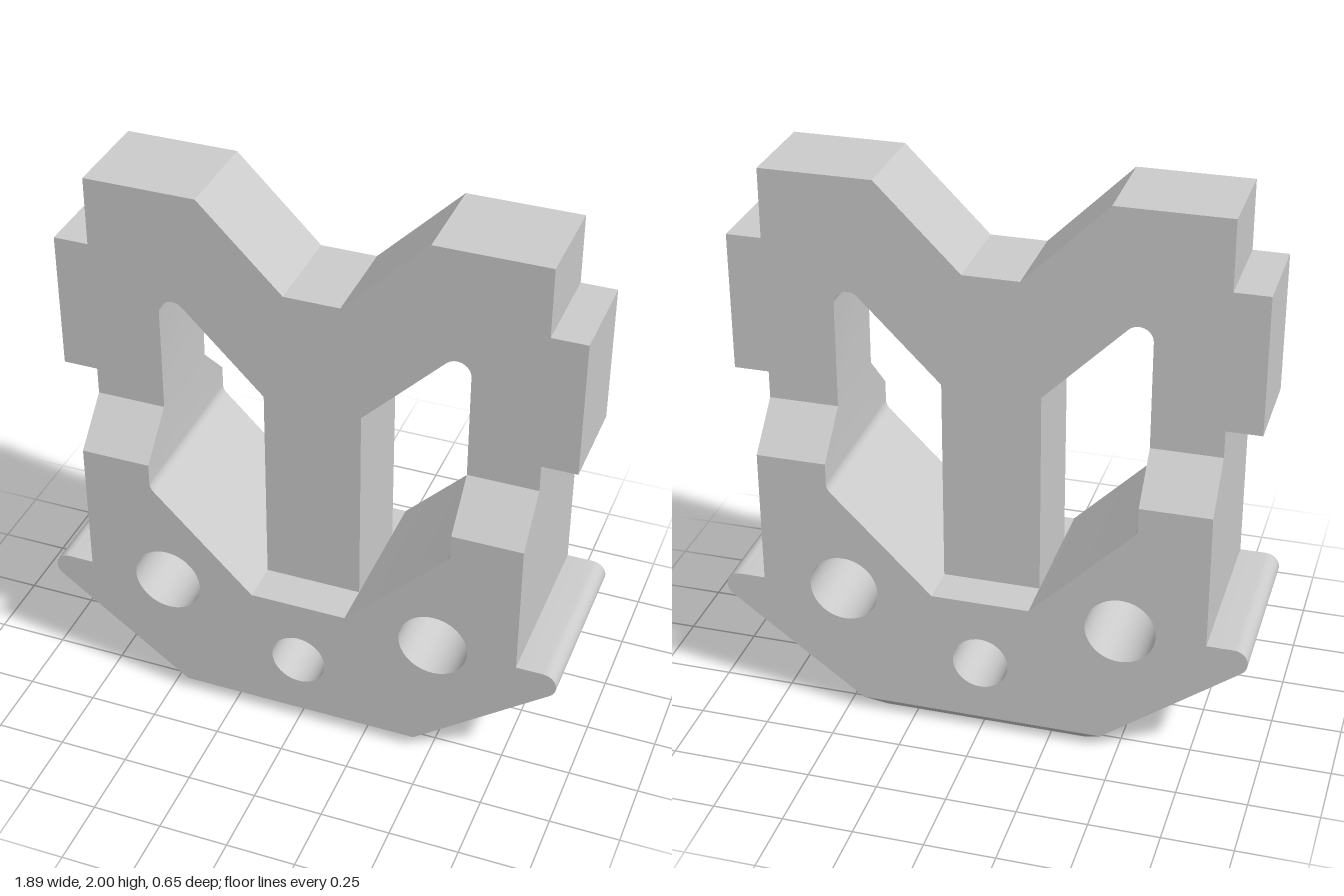
import * as THREE from 'three';
import { toCreasedNormals } from 'three/addons/utils/BufferGeometryUtils.js';

const material = new THREE.MeshStandardMaterial({ color: 0xcccccc });
const THIN = 0.175, THICK = 0.325; // half depths of the upper and lower body

// Points along an arc, angles in degrees
function arc(cx, cy, r, from, to, n = 12) {
  return Array.from({ length: n + 1 }, (_, i) => {
    const a = THREE.MathUtils.degToRad(from + ((to - from) * i) / n);
    return [cx + r * Math.cos(a), cy + r * Math.sin(a)];
  });
}

// Closed symmetric shape from its +x half, listed counterclockwise
function mirroredShape(half) {
  const other = half.map(([x, y]) => [-x, y]).reverse();
  return new THREE.Shape([...half, ...other].map(([x, y]) => new THREE.Vector2(x, y)));
}

function addHole(shape, x, y, r) {
  shape.holes.push(new THREE.Path().absarc(x, y, r, 0, Math.PI * 2, true));
}

function extrude(shape, depth, steps = 1) {
  return new THREE.ExtrudeGeometry(shape, { depth, steps, bevelEnabled: false, curveSegments: 24 });
}

// Apply a rule to every vertex
function deform(geometry, rule) {
  const p = geometry.attributes.position;
  const v = new THREE.Vector3();
  for (let i = 0; i < p.count; i++) {
    rule(v.fromBufferAttribute(p, i));
    p.setXYZ(i, v.x, v.y, v.z);
  }
  return geometry;
}

function part(name, geometry) {
  const mesh = new THREE.Mesh(toCreasedNormals(geometry, 0.5), material);
  mesh.name = name;
  return mesh;
}

export function createModel() {
  const group = new THREE.Group();
  group.name = 'bracket';

  // Thin upper frame: central column, V-notched top and side tabs
  const upper = mirroredShape([
    [0.175, 0.53], [0.175, 1.285],
    ...arc(0.5, 1.54, 0.05, 135, 0),
    [0.55, 1.15], [0.8, 1.15], [0.8, 1.25], [0.925, 1.25],
    [0.925, 1.75], [0.8, 1.75], [0.8, 2], [0.4, 2], [0.1, 1.7],
  ]);
  group.add(part('upperFrame', extrude(upper, THIN * 2).translate(0, 0, -THIN)));

  // Thick lower body with rounded side lips and three through holes
  const lower = mirroredShape([
    [0.44, 0.05],
    ...arc(0.895, 0.45, 0.05, -54, 90),
    [0.8, 0.5], [0.8, 1.15], [0.55, 1.15],
    ...arc(0.5, 0.925, 0.05, 0, -45, 8),
    [0.175, 0.53],
  ]);
  for (const x of [-0.5, 0.5]) addHole(lower, x, 0.505, 0.125);
  addHole(lower, 0, 0.28, 0.1);
  // Depth layers sit at the thin and thick planes; arm tops slope between them
  const levels = [-THICK, -THIN, THIN, THICK];
  const body = deform(extrude(lower, 3, 3), (v) => {
    v.z = levels[Math.round(v.z)];
    if (v.y > 1.14 && Math.abs(v.z) > 0.3) v.y = 1;
  });
  group.add(part('lowerBody', body));

  // Chamfered foot with a round recess underneath
  const footShape = mirroredShape([[0.44, -THICK], [0.44, THICK]]);
  addHole(footShape, 0, 0, 0.23);
  const foot = deform(extrude(footShape, 0.05).rotateX(-Math.PI / 2), (v) => {
    if (v.y < 0.01 && Math.abs(v.x) > 0.4) {
      v.x = Math.sign(v.x) * 0.37;
      v.z = Math.sign(v.z) * 0.275;
    }
  });
  group.add(part('foot', foot));

  return group;
}
